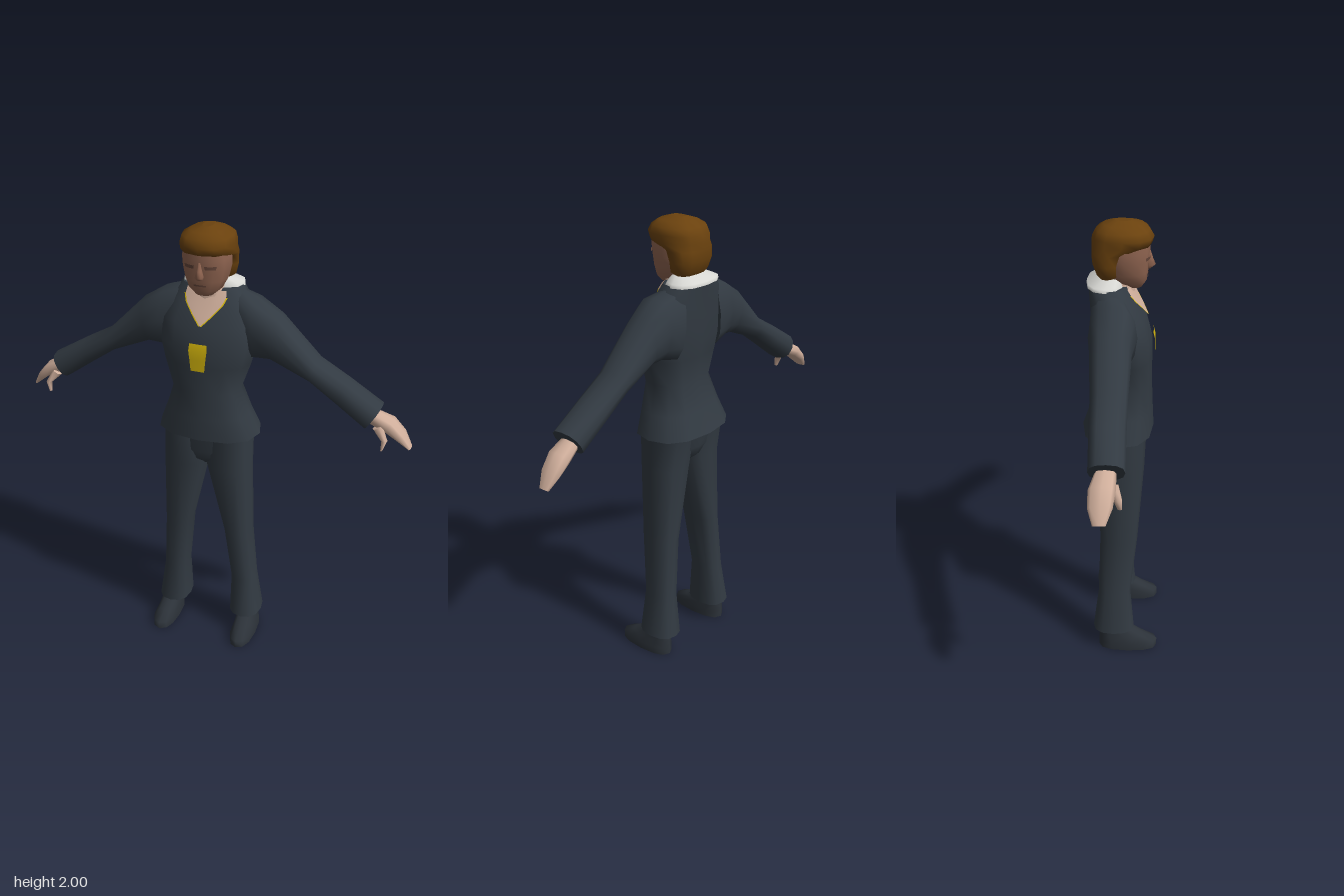
import * as THREE from 'three';

const mat = (name, color, side = THREE.FrontSide) => {
  const m = new THREE.MeshStandardMaterial({ color, side });
  m.name = name;
  return m;
};

// Rounded loft through sections [ax, ay, bx, by, zFront, zBack]; a and b are the two side points.
function loft(sections, sign = 1, n = 12, p = 2.4) {
  const pos = [], idx = [];
  const rings = sections.map(([ax, ay, bx, by, zf, zb]) => {
    const ring = [];
    for (let i = 0; i < n; i++) {
      const t = (i / n) * Math.PI * 2, c = Math.cos(t), s = Math.sin(t);
      const u = Math.sign(c) * Math.abs(c) ** (2 / p), v = Math.sign(s) * Math.abs(s) ** (2 / p);
      ring.push([sign * ((ax + bx) / 2 + (u * (ax - bx)) / 2), (ay + by) / 2 + (u * (ay - by)) / 2,
        (zf + zb) / 2 + (v * (zf - zb)) / 2]);
    }
    return ring;
  });
  rings.forEach((r) => r.forEach((q) => pos.push(...q)));
  for (let j = 0; j < rings.length - 1; j++)
    for (let i = 0; i < n; i++) {
      const a = j * n + i, b = j * n + (i + 1) % n;
      idx.push(a, b, b + n, a, b + n, a + n);
    }
  // End caps with their own vertices, so hems stay crisp
  [rings[0], rings[rings.length - 1]].forEach((r, k) => {
    const base = pos.length / 3;
    r.forEach((q) => pos.push(...q));
    for (let i = 1; i < n - 1; i++)
      k ? idx.push(base, base + i, base + i + 1) : idx.push(base, base + i + 1, base + i);
  });
  // Turn the faces outward whichever way the sections run
  let volume = 0;
  const P = (i) => new THREE.Vector3().fromArray(pos, i * 3);
  for (let i = 0; i < idx.length; i += 3) volume += P(idx[i]).dot(P(idx[i + 1]).cross(P(idx[i + 2])));
  if (volume < 0) idx.reverse();
  return finish(pos, idx);
}

function finish(pos, idx) {
  const g = new THREE.BufferGeometry();
  g.setAttribute('position', new THREE.Float32BufferAttribute(pos, 3));
  g.setIndex(idx);
  g.computeVertexNormals();
  return g;
}

// Symmetric upright section: height, half width, front z, back z
const level = ([y, w, zf, zb]) => [w, y, -w, y, zf, zb];

// Front surface of an upright body at x, y
function frontZ(body, x, y, p = 2.4) {
  let k = 0;
  while (k < body.length - 2 && y > body[k + 1][0]) k++;
  const t = (y - body[k][0]) / (body[k + 1][0] - body[k][0]);
  const [w, zf, zb] = [1, 2, 3].map((i) => THREE.MathUtils.lerp(body[k][i], body[k + 1][i], t));
  const d = Math.max(0, 1 - Math.min(1, Math.abs(x) / w) ** p) ** (1 / p);
  return (zf + zb) / 2 + (d * (zf - zb)) / 2;
}

// Thin sheet lying on the front of a body; rows are [y, xLeft, xRight], bottom to top
function patch(body, rows, offset, cols = 6) {
  const pos = [], idx = [];
  rows.forEach(([y, x0, x1], j) => {
    for (let i = 0; i <= cols; i++) {
      const x = x0 + ((x1 - x0) * i) / cols;
      pos.push(x, y, frontZ(body, x, y) + offset);
      if (j && i) {
        const b = j * (cols + 1) + i, a = b - cols - 1;
        idx.push(a - 1, a, b, a - 1, b, b - 1);
      }
    }
  });
  return finish(pos, idx);
}

export function createModel() {
  const model = new THREE.Group();
  const suit = mat('charcoal suit', 0x323a42);
  const shoeMat = mat('dark shoe', 0x2c3239);
  const face = mat('face skin', 0x8f6450);
  const skin = mat('light skin', 0xcfae9b, THREE.DoubleSide);
  const hairMat = mat('brown hair', 0x6b420e);
  const white = mat('white collar', 0xd6d6d2);
  const gold = mat('yellow badge', 0xd2b40c, THREE.DoubleSide);
  const shade = mat('facial detail', 0x65463a, THREE.DoubleSide);
  const add = (name, geometry, material) => {
    const m = new THREE.Mesh(geometry, material);
    m.name = name;
    model.add(m);
    return m;
  };

  // Jacket body, flared below the waist
  const torso = [
    [1.08, 0.23, 0.14, -0.17], [1.18, 0.19, 0.135, -0.135], [1.3, 0.15, 0.13, -0.1],
    [1.42, 0.19, 0.13, -0.115], [1.5, 0.21, 0.13, -0.125], [1.6, 0.21, 0.105, -0.13],
    [1.68, 0.175, 0.06, -0.135], [1.74, 0.13, 0.03, -0.14],
  ];
  add('jacket', loft(torso.map(level)), suit);

  // Open neckline with gold edging, and the badge
  const vee = [[1.6, 0.001], [1.64, 0.04], [1.68, 0.075], [1.71, 0.088], [1.735, 0.085]];
  add('neckline', patch(torso, vee.map(([y, w]) => [y, -w, w]), 0.006), skin);
  for (const s of [-1, 1]) {
    const edge = vee.slice(0, 4).map(([y, w]) => (s > 0 ? [y, w, w + 0.006] : [y, -w - 0.006, -w]));
    add('necklineTrim', patch(torso, edge, 0.006, 1), gold);
  }
  add('badge', patch(torso, [[1.41, -0.03, 0.03], [1.46, -0.035, 0.035], [1.5, -0.04, 0.04],
    [1.53, -0.038, 0.038]], 0.012), gold);

  // Collar and neck
  add('collar', loft([[1.735, 0.135, 0.015, -0.145], [1.75, 0.13, 0.01, -0.143],
    [1.775, 0.075, 0, -0.085]].map(level)), white);
  add('neck', loft([[1.65, 0.085, 0.06, -0.08], [1.74, 0.07, 0.052, -0.07],
    [1.82, 0.06, 0.05, -0.07]].map(level)), skin);

  // Head
  const head = [
    [1.725, 0.04, 0.085, 0], [1.75, 0.068, 0.103, -0.05], [1.79, 0.088, 0.108, -0.08],
    [1.84, 0.099, 0.112, -0.09], [1.88, 0.101, 0.116, -0.09], [1.94, 0.095, 0.112, -0.08],
  ];
  add('head', loft(head.map(level)), face);
  add('nose', loft([[1.8, 0.012, 0.12, 0.09], [1.815, 0.018, 0.139, 0.09],
    [1.84, 0.011, 0.128, 0.09], [1.875, 0.007, 0.117, 0.09]].map(level), 1, 8), face);
  add('mouth', patch(head, [[1.772, -0.025, 0.025], [1.779, -0.028, 0.028]], 0.004), shade);

  // Hair: nape, sides, then the fringe and crown
  add('hair', loft([
    [1.76, 0.065, -0.035, -0.085], [1.785, 0.098, 0, -0.105], [1.83, 0.107, 0.005, -0.122],
    [1.875, 0.109, 0.025, -0.123], [1.905, 0.11, 0.122, -0.123], [1.935, 0.111, 0.132, -0.12],
    [1.965, 0.105, 0.115, -0.105], [1.985, 0.07, 0.09, -0.075], [2, 0.022, 0.04, -0.03],
  ].map(level)), hairMat);

  // Seat of the trousers
  add('trouserSeat', loft([[1.1, 0.185, 0.108, -0.128], [1.0, 0.16, 0.102, -0.112],
    [0.95, 0.09, 0.085, -0.09], [0.92, 0.02, 0.05, -0.05]].map(level)), suit);

  for (const s of [1, -1]) {
    const side = s > 0 ? 'left' : 'right';

    // Eye
    const x = s * 0.045;
    add(side + 'Eye', patch(head, [[1.847, x - 0.02, x + 0.02], [1.861, x - 0.024, x + 0.024]], 0.004), shade);

    // Sleeve from inside the shoulder to the cuff
    add(side + 'Sleeve', loft([
      [0.1, 1.735, 0.13, 1.42, 0.035, -0.13], [0.2, 1.705, 0.21, 1.445, 0.07, -0.13],
      [0.3, 1.64, 0.27, 1.445, 0.05, -0.12], [0.47, 1.467, 0.44, 1.375, 0.04, -0.11],
      [0.6, 1.395, 0.56, 1.29, 0.038, -0.108], [0.75, 1.305, 0.685, 1.2, 0.038, -0.105],
    ], s), suit);

    // Hand and thumb
    add(side + 'Hand', loft([
      [0.71, 1.28, 0.69, 1.225, 0.005, -0.075], [0.8, 1.242, 0.765, 1.19, 0.005, -0.1],
      [0.85, 1.185, 0.82, 1.155, -0.005, -0.1], [0.882, 1.122, 0.87, 1.115, -0.03, -0.08],
    ], s, 8), skin);
    add(side + 'Thumb', loft([
      [0.76, 1.225, 0.72, 1.205, 0.015, -0.03], [0.79, 1.17, 0.765, 1.165, 0.03, -0.005],
      [0.775, 1.125, 0.765, 1.123, 0.028, 0.01],
    ], s, 6), skin);

    // Trouser leg
    add(side + 'Leg', loft([
      [0.195, 1.1, -0.005, 1.1, 0.11, -0.13], [0.2, 0.92, 0, 0.92, 0.102, -0.1],
      [0.205, 0.57, 0.083, 0.57, 0.075, -0.092], [0.225, 0.3, 0.112, 0.3, 0.045, -0.1],
      [0.254, 0.1, 0.107, 0.1, 0.062, -0.125],
    ], s), suit);

    // Shoe
    add(side + 'Shoe', loft([
      [0.25, 0, 0.142, 0, 0.17, -0.1], [0.25, 0.035, 0.142, 0.035, 0.17, -0.1],
      [0.24, 0.065, 0.148, 0.065, 0.11, -0.097], [0.232, 0.12, 0.152, 0.12, 0.02, -0.09],
    ], s), shoeMat);
  }
  return model;
}
